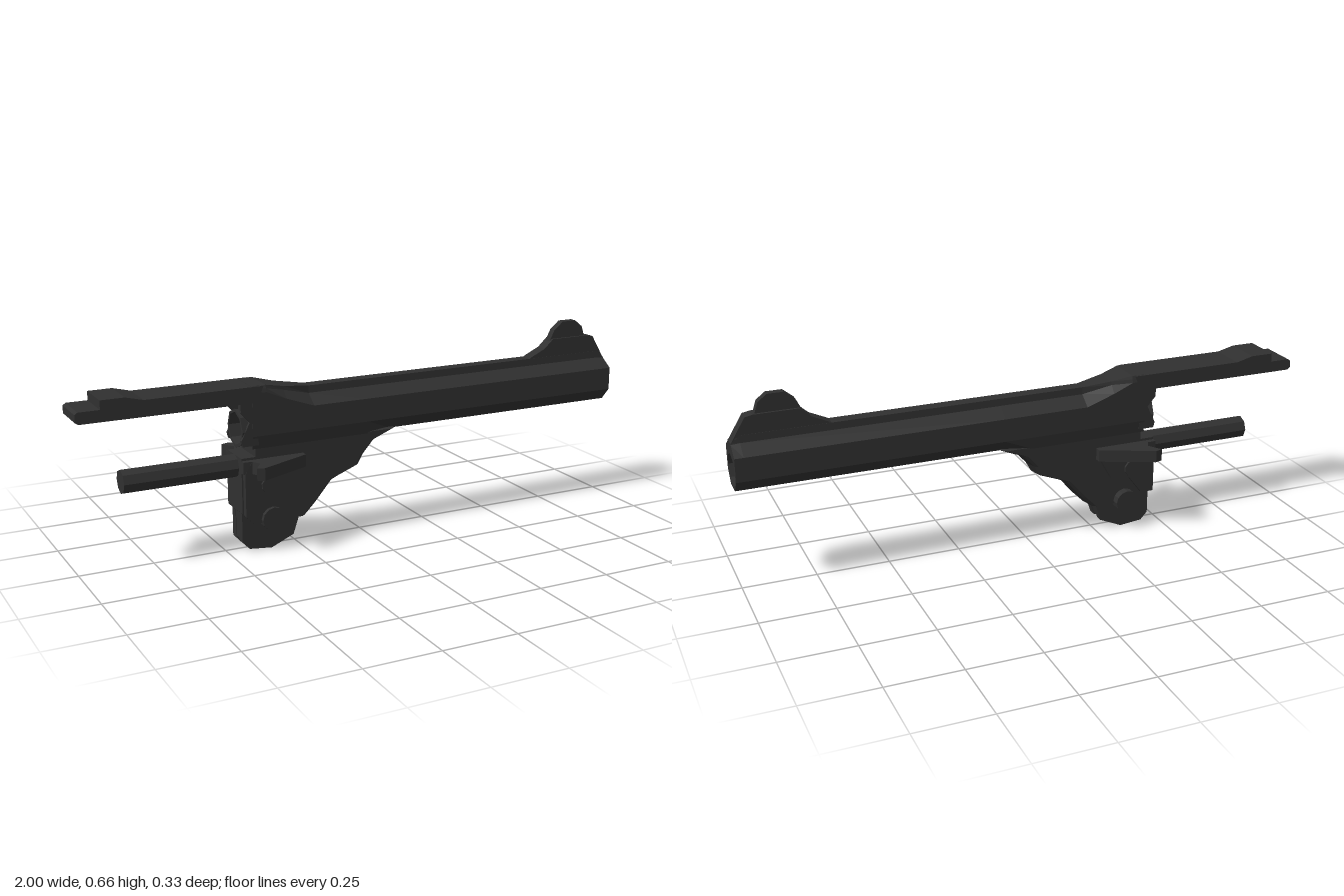
import * as THREE from 'three';

const steel = new THREE.MeshStandardMaterial({ color: 0x303030, flatShading: true });
steel.name = 'dark steel';
const steelDouble = new THREE.MeshStandardMaterial({ color: 0x303030, flatShading: true, side: THREE.DoubleSide });
steelDouble.name = 'dark steel';

const BORE_Y = 0.418, BORE_R = 0.056;

// Skin between rings of equal point count, optionally closed with fans
function loft(rings, caps) {
  const n = rings[0].length, index = [];
  for (let i = 0; i < rings.length - 1; i++) {
    for (let j = 0; j < n; j++) {
      const k = (j + 1) % n, a = i * n, b = a + n;
      index.push(a + j, a + k, b + k, a + j, b + k, b + j);
    }
  }
  if (caps) {
    const e = (rings.length - 1) * n;
    for (let j = 1; j < n - 1; j++) index.push(0, j + 1, j, e, e + j, e + j + 1);
  }
  const g = new THREE.BufferGeometry();
  g.setAttribute('position', new THREE.Float32BufferAttribute(rings.flat(2), 3));
  g.setIndex(index);
  const flat = g.toNonIndexed();
  flat.computeVertexNormals();
  return flat;
}

const shapeOf = (pts) => new THREE.Shape(pts.map(([x, y]) => new THREE.Vector2(x, y)));

// Side profile in x/y, extruded from z0 to z1
function plate(pts, z0, z1) {
  const g = new THREE.ExtrudeGeometry(shapeOf(pts), { depth: z1 - z0, bevelEnabled: false });
  return g.translate(0, 0, z0);
}

function octagonHole(r) {
  const pts = [];
  for (let i = 0; i < 8; i++) {
    const a = (i * Math.PI) / 4;
    pts.push(new THREE.Vector2(Math.sin(a) * r, BORE_Y + Math.cos(a) * r));
  }
  return new THREE.Path(pts);
}

export function createModel() {
  const model = new THREE.Group();
  const add = (name, geometry, material = steel) => {
    const m = new THREE.Mesh(geometry, material);
    m.name = name;
    model.add(m);
    return m;
  };

  // Barrel: half sections as [z, y], widening into the top strap at the rear
  const half = (tw, ty, w2, y2, y3, wb) => [[tw, ty], [w2, y2], [0.067, y3], [0.067, 0.4], [wb, 0.357]];
  const stations = [
    [-0.42, half(0.06, 0.568, 0.064, 0.557, 0.545, 0.06)],
    [-0.37, half(0.06, 0.568, 0.064, 0.557, 0.545, 0.06)],
    [-0.3, half(0.042, 0.552, 0.045, 0.54, 0.515, 0.06)],
    [-0.2, half(0.022, 0.538, 0.023, 0.513, 0.48, 0.06)],
    [0.0, half(0.022, 0.538, 0.023, 0.513, 0.48, 0.06)],
    [0.1, half(0.022, 0.538, 0.023, 0.513, 0.48, 0.03)],
    [0.97, half(0.022, 0.538, 0.023, 0.513, 0.48, 0.03)],
    [1.0, half(0.022, 0.515, 0.023, 0.511, 0.48, 0.03)],
  ];
  const full = (h) => [...h, ...h.map(([z, y]) => [-z, y]).reverse()];
  add('barrel', loft(stations.map(([x, h]) => full(h).map(([z, y]) => [x, y, z])), false));

  // End faces with the bore cut through
  for (const [name, s, turn] of [['muzzleFace', stations[7], 1], ['breechFace', stations[0], -1]]) {
    const shape = shapeOf(full(s[1]));
    shape.holes.push(octagonHole(BORE_R));
    add(name, new THREE.ShapeGeometry(shape).rotateY((turn * Math.PI) / 2).translate(s[0], 0, 0));
  }
  const bore = new THREE.CylinderGeometry(BORE_R, BORE_R, 1.44, 8, 1, true);
  add('bore', bore.rotateX(0).rotateZ(Math.PI / 2).translate(0.28, BORE_Y, 0), steelDouble);

  // Faceted collar behind the breech
  const collar = new THREE.LatheGeometry(
    [[BORE_R, 0], [0.066, 0], [0.062, 0.025], [0.067, 0.05], [BORE_R, 0.05], [BORE_R, 0]].map(([r, y]) => new THREE.Vector2(r, y)), 8);
  add('breechCollar', collar.rotateZ(-Math.PI / 2).translate(-0.455, BORE_Y, 0), steelDouble);
  for (const s of [1, -1]) {
    add('breechProng', plate([[-0.46, 0.515], [-0.46, 0.485], [-0.43, 0.45], [-0.46, 0.39], [-0.455, 0.37], [-0.4, 0.37], [-0.4, 0.515]],
      s > 0 ? 0.056 : -0.066, s > 0 ? 0.066 : -0.056));
  }

  // Top strap with rear sight step
  add('topStrap', plate([[-1, 0.52], [-0.99, 0.513], [-0.4, 0.513], [-0.38, 0.567], [-0.78, 0.567], [-0.84, 0.582],
    [-0.92, 0.582], [-0.92, 0.552], [-0.99, 0.552], [-1, 0.545]], -0.067, 0.067));

  // Front sight
  add('frontSightBase', plate([[0.66, 0.53], [0.69, 0.545], [0.74, 0.568], [0.775, 0.6], [0.925, 0.6], [0.95, 0.595], [1, 0.512], [0.97, 0.51]], -0.021, 0.021));
  add('frontSightBlade', plate([[0.765, 0.59], [0.785, 0.63], [0.82, 0.659], [0.875, 0.659], [0.905, 0.635], [0.92, 0.59]], -0.013, 0.013));

  // Lower lug: horizontal sections [y, rear x, front x]
  const lug = [[0.1, -0.42, -0.22], [0.14, -0.46, -0.18], [0.21, -0.46, -0.12], [0.225, -0.46, -0.085], [0.25, -0.46, -0.02],
    [0.285, -0.46, 0], [0.33, -0.46, 0.04], [0.33, -0.41, 0.04], [0.362, -0.41, 0.12]];
  add('lowerLug', loft(lug.map(([y, b, f]) => [[b, 0.06], [f - 0.025, 0.06], [f - 0.012, 0.05], [f, 0],
    [f - 0.012, -0.05], [f - 0.025, -0.06], [b, -0.06]].map(([x, z]) => [x, y, z])), true));

  // Hinge knuckles
  const knuckle = [[-0.455, 0.14], [-0.455, 0.035], [-0.43, 0.008], [-0.35, 0], [-0.27, 0.035], [-0.245, 0.11], [-0.27, 0.18], [-0.4, 0.18]];
  add('hingeKnuckle', plate(knuckle, 0.015, 0.042));
  add('hingeKnuckle', plate(knuckle, -0.042, -0.015));
  add('hingeCore', plate(knuckle.map(([x, y]) => [x * 0.97 - 0.012, y * 0.94 + 0.008]), -0.015, 0.015));

  // Hinge screw
  const disc = (r, z0, z1, x, y, n) =>
    new THREE.CylinderGeometry(r, r, z1 - z0, n).rotateX(Math.PI / 2).translate(x, y, (z0 + z1) / 2);
  add('hingeScrew', disc(0.041, -0.088, 0.074, -0.352, 0.11, 12));

  // Release levers, screws and thumb wings on both sides
  for (const s of [1, -1]) {
    const span = (a, b) => (s > 0 ? [a, b] : [-b, -a]);
    add('leverPlate', plate([[-0.455, 0.135], [-0.455, 0.28], [-0.43, 0.322], [-0.25, 0.322], [-0.25, 0.28], [-0.29, 0.21],
      [-0.36, 0.2], [-0.41, 0.135]], ...span(0.058, 0.08)));
    add('leverScrew', disc(0.03, ...span(0.06, 0.088), -0.37, 0.235, 10));
    const wing = shapeOf([[-0.24, 0.06], [-0.24, 0.083], [-0.42, 0.163], [-0.445, 0.155], [-0.415, 0.11], [-0.43, 0.08],
      [-0.46, 0.078], [-0.46, 0.06]].map(([x, z]) => [x, z * s]));
    const g = new THREE.ExtrudeGeometry(wing, { depth: 0.042, bevelEnabled: false });
    add('thumbWing', g.rotateX(Math.PI / 2).translate(0, 0.322, 0));
  }

  // Extractor rod
  const rod = new THREE.CylinderGeometry(0.04, 0.04, 0.41, 8).rotateZ(Math.PI / 2);
  add('extractorRod', rod.translate(-0.643, 0.292, 0));

  return model;
}
